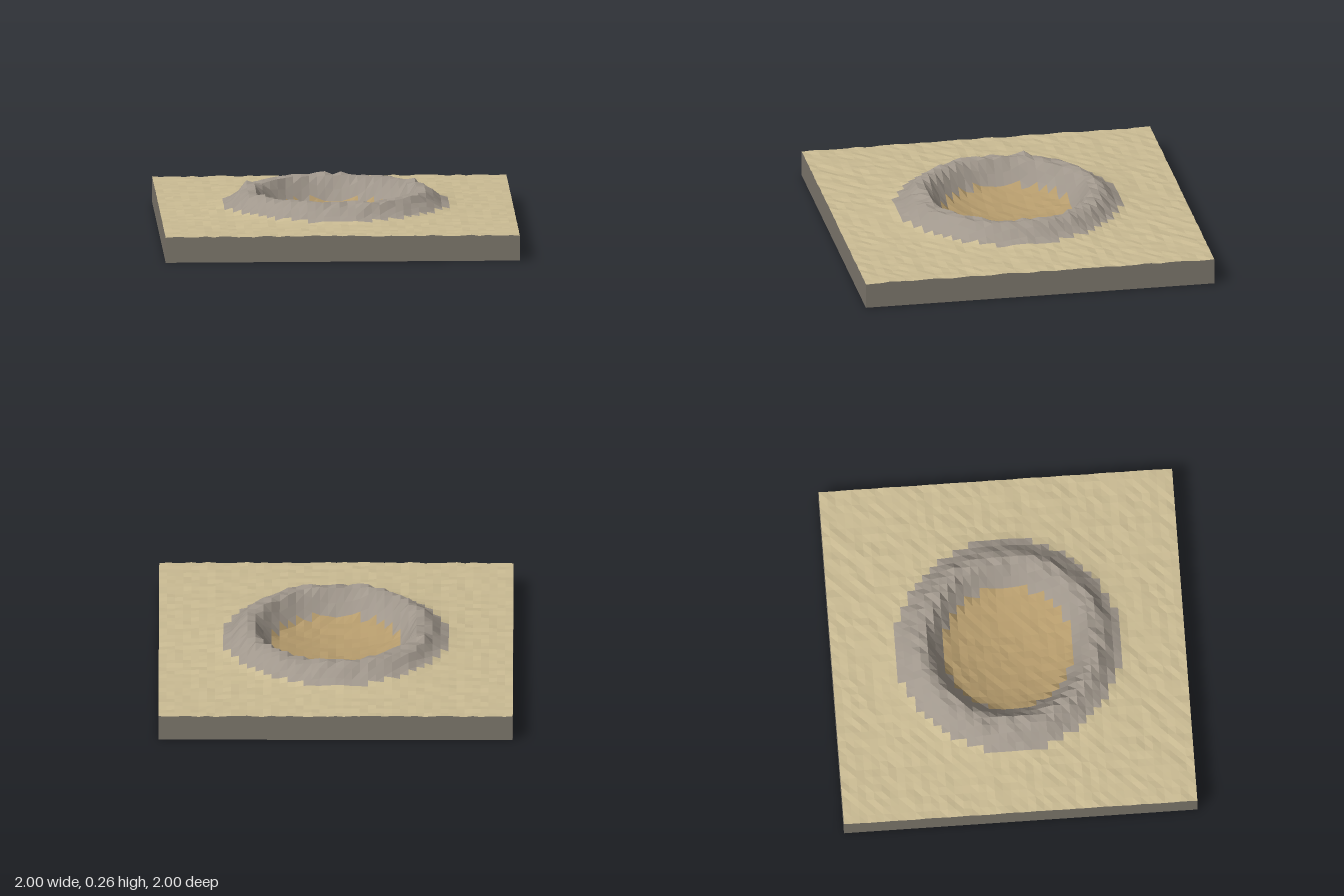
import * as THREE from 'three';

const CELLS = 44;

// Height of the land by distance from the crater centre: [radius, height]
const PROFILE = [
  [0, 0.045], [0.12, 0.05], [0.24, 0.07], [0.36, 0.105], [0.41, 0.175], [0.455, 0.247],
  [0.53, 0.247], [0.57, 0.205], [0.61, 0.176], [0.66, 0.16], [0.78, 0.153], [1.0, 0.147], [1.5, 0.145],
];

// Repeatable noise in -1..1 for a grid point
function noise(x, z) {
  const s = Math.sin(Math.round(x * 22) * 12.9898 + Math.round(z * 22) * 78.233) * 43758.5453;
  return (s - Math.floor(s)) * 2 - 1;
}

function height(x, z) {
  const r = Math.hypot(x, z);
  const i = Math.max(1, PROFILE.findIndex(([pr]) => pr > r));
  const [r0, h0] = PROFILE[i - 1];
  const [r1, h1] = PROFILE[i];
  const onRim = Math.max(0, 1 - Math.abs(r - 0.5) / 0.12);
  const peak = 0.025 * Math.max(0, 1 - Math.hypot(x + 0.5, z + 0.18) / 0.06);
  return h0 + (h1 - h0) * (r - r0) / (r1 - r0) + noise(x, z) * (0.004 + 0.008 * onRim) + peak;
}

function makeMesh(name, geometry, color) {
  geometry.computeVertexNormals();
  const mesh = new THREE.Mesh(geometry, new THREE.MeshStandardMaterial({ color, flatShading: true }));
  mesh.name = name;
  return mesh;
}

export function createModel() {
  const group = new THREE.Group();
  group.name = 'craterTile';

  // Land surface: a displaced grid, split into coloured rings by cell
  const land = new THREE.PlaneGeometry(2, 2, CELLS, CELLS).rotateX(-Math.PI / 2);
  const pos = land.attributes.position;
  for (let i = 0; i < pos.count; i++) pos.setY(i, height(pos.getX(i), pos.getZ(i)));
  const flat = land.toNonIndexed().attributes.position.array;

  const rings = [
    { name: 'craterFloor', outer: 0.36, color: 0xb59b6c, points: [] },
    { name: 'craterRim', outer: 0.635, color: 0xa0978c, points: [] },
    { name: 'sandGround', outer: Infinity, color: 0xcabb93, points: [] },
  ];
  for (let i = 0; i < flat.length; i += 18) { // two triangles per cell
    let x = 0, z = 0;
    for (let k = 0; k < 18; k += 3) {
      x += flat[i + k] / 6;
      z += flat[i + k + 2] / 6;
    }
    const ring = rings.find((g) => Math.hypot(x, z) < g.outer);
    ring.points.push(...flat.slice(i, i + 18));
  }
  for (const { name, color, points } of rings) {
    const geometry = new THREE.BufferGeometry();
    geometry.setAttribute('position', new THREE.Float32BufferAttribute(points, 3));
    group.add(makeMesh(name, geometry, color));
  }

  // Four cut sides whose top edge follows the land
  const stone = 0x7d776c;
  for (let side = 0; side < 4; side++) {
    const wall = new THREE.PlaneGeometry(2, 1, CELLS, 1).translate(0, 0.5, 1).rotateY(side * Math.PI / 2);
    const p = wall.attributes.position;
    for (let i = 0; i < p.count; i++) p.setY(i, p.getY(i) > 0.5 ? height(p.getX(i), p.getZ(i)) : 0);
    group.add(makeMesh('slabSide' + (side + 1), wall, stone));
  }

  // Underside
  group.add(makeMesh('slabBottom', new THREE.PlaneGeometry(2, 2).rotateX(Math.PI / 2), stone));
  return group;
}
